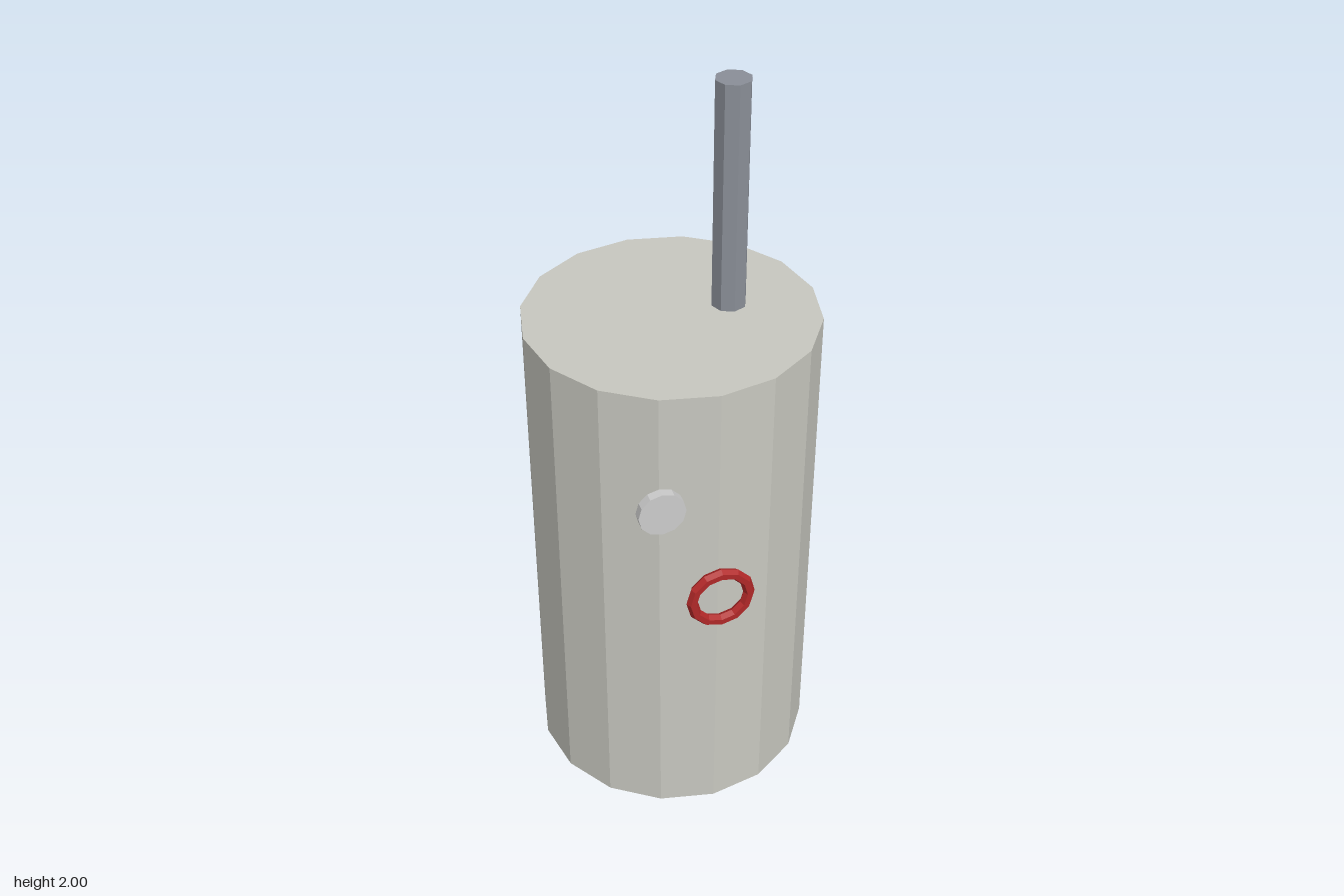
import * as THREE from 'three';

const material = (color) => new THREE.MeshStandardMaterial({ color, flatShading: true });

function addPart(group, name, geometry, color, x, y, z) {
  const mesh = new THREE.Mesh(geometry, material(color));
  mesh.name = name;
  mesh.position.set(x, y, z);
  group.add(mesh);
  return mesh;
}

export function createModel() {
  const group = new THREE.Group();
  const axisZ = -0.0195;
  const bodyHeight = 1.3846;
  const rodHeight = 2 - bodyHeight;

  // Sixteen-sided canister
  addPart(group, 'body', new THREE.CylinderGeometry(0.3846, 0.3846, bodyHeight, 16),
    0xc8c8c0, 0, bodyHeight / 2, axisZ);

  // Off-centre rod standing on the lid
  addPart(group, 'rod', new THREE.CylinderGeometry(0.0462, 0.0462, rodHeight, 8),
    0x8a8f98, 0.1538, bodyHeight + rodHeight / 2, axisZ);

  // Round button on the front
  const button = addPart(group, 'button', new THREE.CylinderGeometry(0.0615, 0.0615, 0.0246, 12),
    0xd8d8d4, -0.1538, 1.0785, 0.3735);
  button.rotation.x = Math.PI / 2;

  // Red ring just in front of the body
  addPart(group, 'ring', new THREE.TorusGeometry(0.0769, 0.0154, 6, 12),
    0xb02828, 0, 0.772, 0.3885);

  return group;
}
